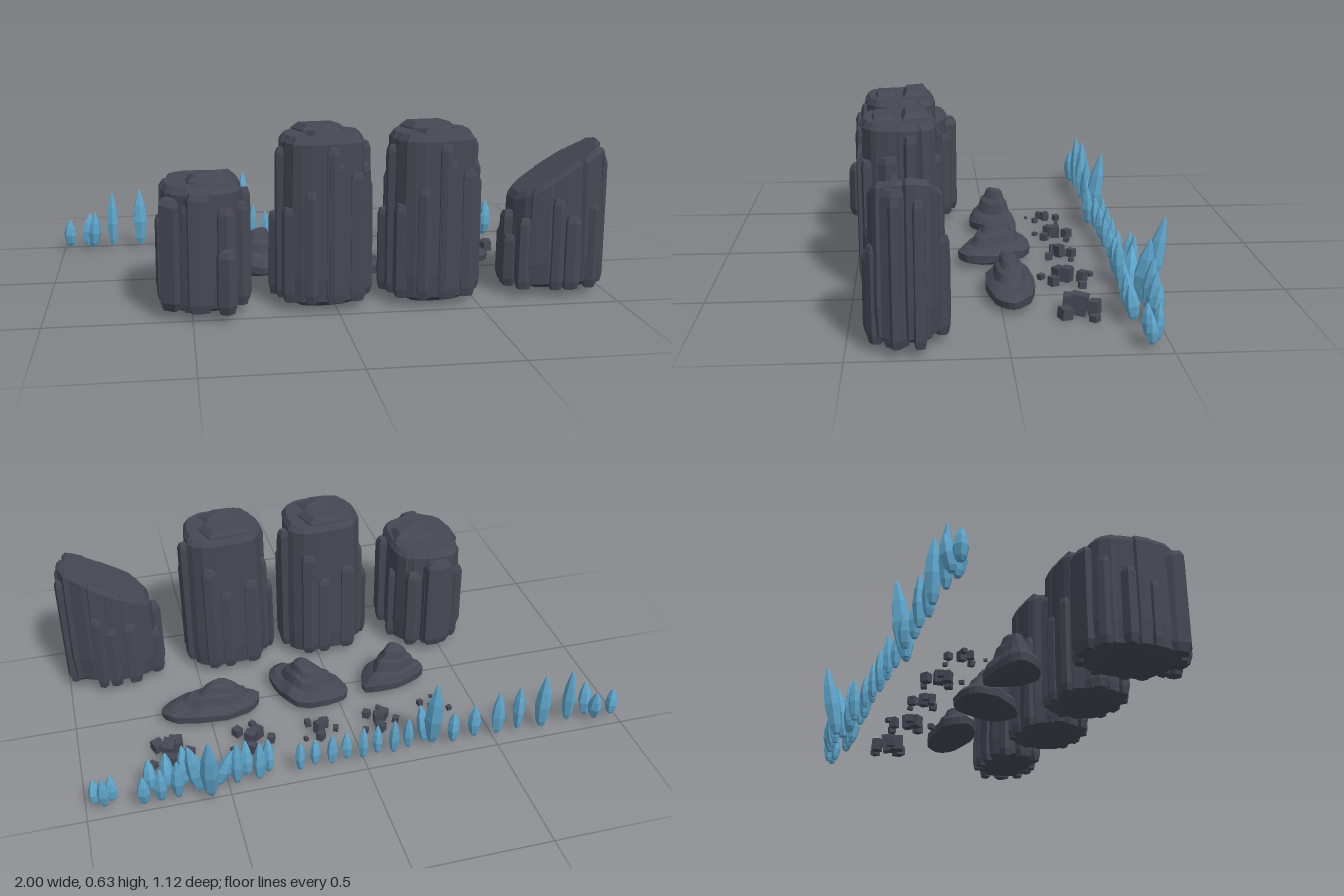
import * as THREE from 'three';

const rock = new THREE.MeshStandardMaterial({ color: 0x454753, flatShading: true });
rock.name = 'dark basalt';
const ice = new THREE.MeshStandardMaterial({ color: 0x5fa6cc, flatShading: true });
ice.name = 'blue crystal';

// Small seeded generator
function seeded(s) {
  return () => ((s = (s * 16807) % 2147483647) / 2147483647);
}

// Stacks scaled copies of an outline [x, z]; each level is [y, scale]
function loft(outline, levels, warp) {
  const n = outline.length, pos = [], idx = [];
  const add = (x, y, z) => {
    const p = new THREE.Vector3(x, y, z);
    if (warp) warp(p);
    pos.push(p.x, p.y, p.z);
  };
  for (const [y, s] of levels)
    for (const [x, z] of outline) add(x * s, y, z * s);
  const last = levels.length - 1;
  add(0, levels[0][0], 0);
  add(0, levels[last][0], 0);
  const base = n * levels.length, top = base + 1;
  for (let i = 0; i < n; i++) {
    const j = (i + 1) % n;
    for (let l = 0; l < last; l++) {
      const a = l * n + i, b = l * n + j;
      idx.push(a, a + n, b, a + n, b + n, b);
    }
    idx.push(base, i, j, top, last * n + j, last * n + i);
  }
  const g = new THREE.BufferGeometry();
  g.setAttribute('position', new THREE.Float32BufferAttribute(pos, 3));
  g.setIndex(idx);
  const flat = g.toNonIndexed();
  flat.computeVertexNormals();
  return flat;
}

function mesh(name, geometry, material, parent, x = 0, y = 0, z = 0) {
  const m = new THREE.Mesh(geometry, material);
  m.name = name;
  m.position.set(x, y, z);
  parent.add(m);
  return m;
}

function group(name, parent) {
  const g = new THREE.Group();
  g.name = name;
  parent.add(g);
  return g;
}

// Rounded rectangle radius along an angle
const edge = (a, rx, rz) =>
  Math.pow(Math.pow(Math.abs(Math.cos(a)) / rx, 3) + Math.pow(Math.abs(Math.sin(a)) / rz, 3), -1 / 3);

const polar = (a, r) => [Math.cos(a) * r, Math.sin(a) * r];

// Outline with stepped vertical columns
function columnOutline(n, rx, rz, rnd) {
  const pts = [];
  for (let i = 0; i < n; i++) {
    const k = 0.9 + 0.1 * rnd();
    for (const t of [0.06, 0.3 + 0.4 * rnd(), 0.94]) {
      const a = ((i + t) / n) * Math.PI * 2;
      pts.push(polar(a, edge(a, rx, rz) * k));
    }
  }
  return pts;
}

// Thin upright slab with chipped ends
function slab(parent, x, z, w, d, y0, h, rnd) {
  const pts = [];
  for (let i = 0; i < 6; i++) {
    const a = (i / 6) * Math.PI * 2 + 0.4;
    pts.push(polar(a, edge(a, w, d) * (0.88 + 0.14 * rnd())));
  }
  const tilt = (rnd() - 0.5) * 0.5;
  mesh('rockSlab', loft(pts, [[y0, 0.75], [y0 + 0.03, 1], [h - 0.02, 0.95], [h, 0.7]], p => {
    if (p.y > h - 0.03) p.y -= Math.abs(tilt * (p.x + p.z));
  }), rock, parent, x, 0, z);
}

// Columnar rock: core, cap pieces, and slabs around the edge
function pillar(parent, { name, seed, x, z, rx, rz, h, slope = () => h, warp, caps = [], slabs }) {
  const g = group(name, parent), rnd = seeded(seed);
  g.position.set(x, 0, z);
  mesh('rockCore', loft(columnOutline(13, rx, rz, rnd),
    [[0.012, 0.72], [0.035, 0.97], [0.12, 1.01], [h * 0.6, 0.99], [h - 0.022, 0.965], [h, 0.87]], warp), rock, g);
  for (const [sx, sz, w, d, top] of caps) slab(g, sx, sz, w, d, h - 0.06, top, rnd);
  for (const [sx, sz, w, d, top] of slabs) slab(g, sx, sz, w, d, 0.03, top, rnd);
  for (let i = 0; i < 11; i++) {
    const a = ((i + rnd() * 0.6) / 11) * Math.PI * 2;
    const [sx, sz] = polar(a, edge(a, rx, rz) * 0.9);
    slab(g, sx, sz, 0.024 + rnd() * 0.012, 0.022 + rnd() * 0.01, 0.03,
      (slope(sx) - 0.02) * (0.62 + 0.38 * rnd()), rnd);
  }
}

// Low boulder with ledges, from a smoothed outline around its peak
function boulder(parent, name, x, z, h, points) {
  const curve = new THREE.CatmullRomCurve3(points.map(p => new THREE.Vector3(p[0] - x, 0, p[1] - z)), true);
  const outline = curve.getPoints(18).slice(0, 18).map(p => [p.x, p.z]);
  const levels = [[0.005, 0.68], [0.022, 0.98], [0.05, 1], [0.45 * h, 0.84], [0.53 * h, 0.66],
    [0.74 * h, 0.55], [0.8 * h, 0.42], [0.95 * h, 0.33], [h, 0.2]];
  mesh(name, loft(outline, levels, p => {
    p.y += 0.008 * Math.sin(p.x * 43 + p.z * 31) * Math.min(1, p.y * 15);
  }), rock, parent, x, 0, z);
}

export function createModel() {
  const model = new THREE.Group();
  model.name = 'rocksAndCrystals';

  // Tall rocks
  const pillars = group('tallRocks', model);
  pillar(pillars, {
    name: 'broadRock', seed: 77, x: -0.455, z: 0.32, rx: 0.152, rz: 0.185, h: 0.45,
    caps: [[0.03, 0.02, 0.1, 0.11, 0.48]],
    slabs: [[0.07, 0.2, 0.035, 0.04, 0.25], [-0.02, 0.18, 0.06, 0.03, 0.44],
      [-0.11, 0.12, 0.045, 0.06, 0.42], [-0.02, -0.17, 0.07, 0.045, 0.42]],
  });
  for (const [name, x] of [['leftTallRock', 0.355], ['rightTallRock', -0.035]])
    pillar(pillars, {
      name, seed: 421, x, z: 0.335, rx: 0.16, rz: 0.138, h: 0.605,
      caps: [[-0.01, -0.058, 0.135, 0.055, 0.63], [0, 0.05, 0.13, 0.047, 0.625]],
      slabs: [[-0.168, -0.02, 0.025, 0.04, 0.33], [0.135, 0.03, 0.03, 0.04, 0.5], [0.03, 0.125, 0.05, 0.02, 0.52]],
    });
  const slope = x => 0.46 + 0.62 * x;
  pillar(pillars, {
    name: 'slantedRock', seed: 905, x: 0.81, z: 0.31, rx: 0.18, rz: 0.122, h: 0.46, slope,
    warp: p => { p.y = 0.03 + (p.y - 0.012) * (slope(p.x) - 0.03) / 0.448; },
    slabs: [[-0.165, 0.03, 0.03, 0.035, 0.22], [0.15, 0.03, 0.026, 0.05, 0.525]],
  });

  // Low boulders
  boulder(model, 'rightBoulder', -0.25, -0.035, 0.17,
    [[-0.105, -0.1], [-0.13, 0.01], [-0.22, 0.07], [-0.335, 0.02], [-0.36, -0.05], [-0.24, -0.105]]);
  boulder(model, 'middleBoulder', 0.11, -0.02, 0.145,
    [[0.22, -0.03], [0.235, 0.09], [0.17, 0.13], [0.04, 0.06], [-0.04, -0.07], [-0.02, -0.12], [0.15, -0.135]]);
  boulder(model, 'leftBoulder', 0.43, -0.035, 0.135,
    [[0.68, -0.04], [0.63, 0.02], [0.42, 0.042], [0.3, -0.03], [0.36, -0.11], [0.63, -0.1]]);

  // Loose rubble: patches of chips spiralling out from a centre, largest first
  const rubble = group('rubble', model), rnd = seeded(31);
  for (const [x, z, count, size, reach] of [[0.68, -0.25, 6, 0.056, 0.08], [0.38, -0.25, 8, 0.04, 0.1],
    [0.12, -0.255, 6, 0.036, 0.07], [-0.11, -0.265, 7, 0.036, 0.08], [-0.33, -0.25, 7, 0.026, 0.08]])
    for (let i = 0; i < count; i++) {
      const t = i / (count - 1), s = size * (1 - 0.5 * t);
      const [dx, dz] = polar(i * 2.4, reach * Math.sqrt(t));
      const h = s * (1.25 - 0.5 * t);
      const chip = mesh('stoneChip', new THREE.BoxGeometry(s, h, s * (0.75 + rnd() * 0.3)), rock, rubble,
        x + dx, h / 2 + 0.004, z + dz);
      chip.rotation.set((rnd() - 0.5) * 0.2, rnd() * 3, (rnd() - 0.5) * 0.2);
    }

  // Crystals: six-sided shards, narrow at the foot and pointed at the tip
  const crystals = group('crystals', model);
  const hex = [0, 1, 2, 3, 4, 5].map(i => polar(i * Math.PI / 3, i % 2 ? 0.47 : 0.52));
  const shard = loft(hex, [[0, 0.4], [0.12, 0.72], [0.42, 1], [0.7, 0.76], [0.94, 0.26], [1, 0.06]]);
  const crystal = (x, z, h, w, leanX = 0, leanZ = 0) => {
    const m = mesh('crystal', shard, ice, crystals, x, 0.018, z);
    m.scale.set(w, h, w);
    m.rotation.set(leanZ / h, x * 40, -leanX / h, 'ZXY');
  };
  // Evenly spaced runs: start x, end x, count, first and last height, width, zigzag in z
  for (const [x0, x1, n, h0, h1, w, zig] of [[-0.6, -0.34, 4, 0.2, 0.12, 0.05, 0.004],
    [-0.17, 0.24, 8, 0.14, 0.115, 0.04, 0.006], [0.35, 0.47, 4, 0.15, 0.17, 0.048, 0.015],
    [0.65, 0.8, 6, 0.17, 0.12, 0.05, 0.03], [0.905, 0.965, 3, 0.12, 0.11, 0.042, 0.01]])
    for (let i = 0; i < n; i++) {
      const side = i % 2 ? -1 : 1;
      crystal(THREE.MathUtils.lerp(x0, x1, i / (n - 1)), -0.445 + side * zig,
        THREE.MathUtils.lerp(h0, h1, i / (n - 1)) * (1 - 0.08 * side), w, 0, side * zig * 0.6);
    }
  // Larger single crystals and leaning clusters
  crystal(-0.975, -0.455, 0.11, 0.052);
  crystal(-0.905, -0.46, 0.13, 0.055, 0.012, -0.02);
  crystal(-0.88, -0.435, 0.145, 0.055, 0.01, 0.01);
  crystal(-0.8, -0.445, 0.225, 0.05);
  crystal(-0.69, -0.455, 0.23, 0.06);
  crystal(-0.265, -0.43, 0.29, 0.07, 0.005, -0.04);
  crystal(-0.24, -0.42, 0.16, 0.05, 0.02, 0.01);
  crystal(0.57, -0.495, 0.285, 0.068, 0.005, -0.055);
  crystal(0.6, -0.46, 0.23, 0.065, 0.04, -0.03);
  crystal(0.54, -0.45, 0.16, 0.055, -0.06, -0.01);
  return model;
}
